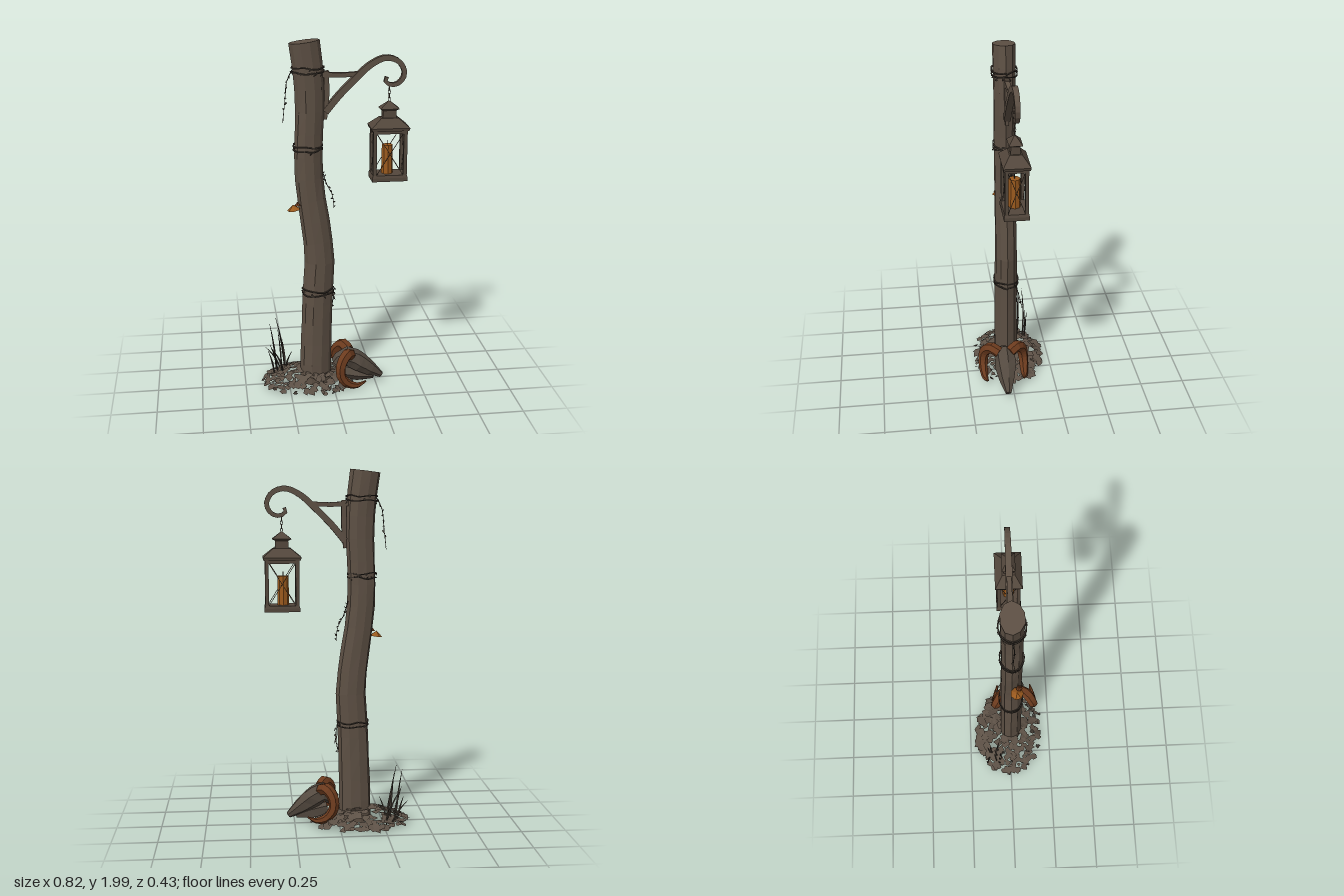
import * as THREE from 'three';

const V = (x, y, z = 0) => new THREE.Vector3(x, y, z);
const mat = (name, color, extra = {}) =>
  Object.assign(new THREE.MeshStandardMaterial({ color, flatShading: true, ...extra }), { name });

// small seeded random numbers
let seed = 7;
const rnd = (a = 0, b = 1) => {
  seed = (seed * 16807) % 2147483647;
  return a + (b - a) * (seed / 2147483647);
};

// tapered limb: rings swept along a smooth path, radii spread along its length
function limb(points, radii, sides = 6, steps = 12, rough = 0) {
  const curve = new THREE.CatmullRomCurve3(points);
  const f = curve.computeFrenetFrames(steps, false);
  const pos = [], idx = [];
  const lumps = Array.from({ length: sides }, () => 1 + rnd(-rough, rough));
  for (let i = 0; i <= steps; i++) {
    const c = curve.getPointAt(i / steps);
    const t = (i / steps) * (radii.length - 1), k = Math.min(Math.floor(t), radii.length - 2);
    const r = THREE.MathUtils.lerp(radii[k], radii[k + 1], t - k);
    for (let j = 0; j < sides; j++) {
      const a = (j + 0.5) / sides * Math.PI * 2;
      const q = r * lumps[j] * (1 + rnd(-rough, rough) * 0.4);
      const p = c.clone().addScaledVector(f.normals[i], q * Math.cos(a)).addScaledVector(f.binormals[i], q * Math.sin(a));
      pos.push(p.x, p.y, p.z);
      const n = (j + 1) % sides, o = i * sides;
      if (i < steps) idx.push(o + j, o + n, o + sides + n, o + j, o + sides + n, o + sides + j);
    }
  }
  const last = steps * sides;
  for (let j = 1; j < sides - 1; j++) idx.push(0, j + 1, j, last, last + j, last + j + 1);
  const g = new THREE.BufferGeometry();
  g.setAttribute('position', new THREE.Float32BufferAttribute(pos, 3));
  g.setIndex(idx);
  g.computeVertexNormals();
  return g;
}

// many flat irregular chips in one geometry; each has a centre p, a normal n, a size s and a length ratio
function chips(list) {
  const pos = [];
  for (const { p, n, s, ratio = 1 } of list) {
    const q = new THREE.Quaternion().setFromUnitVectors(V(0, 1, 0), n.clone().normalize());
    const sides = 4 + Math.floor(rnd(0, 2)), turn = rnd(0, 6.28);
    const ring = Array.from({ length: sides }, (_, j) => {
      const a = -(j + rnd(-0.25, 0.25)) / sides * Math.PI * 2, r = s * rnd(0.75, 1.25);
      return V(r * Math.cos(a), 0, r * Math.sin(a) * ratio).applyAxisAngle(V(0, 1, 0), turn).applyQuaternion(q).add(p);
    });
    for (let j = 1; j < sides - 1; j++) for (const v of [ring[0], ring[j], ring[j + 1]]) pos.push(v.x, v.y, v.z);
  }
  const g = new THREE.BufferGeometry();
  g.setAttribute('position', new THREE.Float32BufferAttribute(pos, 3));
  g.computeVertexNormals();
  return g;
}

export function createModel() {
  seed = 7;
  const wood = mat('weathered wood', 0x5d5044);
  const metal = mat('lantern metal', 0x53473c);
  const earth = mat('earth', 0x5d5146, { side: THREE.DoubleSide });
  const vine = mat('dry vine', 0x3a332c, { side: THREE.DoubleSide });
  const bone = mat('old bone', 0x544a40);
  const horn = mat('rusty horn', 0x6c3b1e);
  const wax = mat('orange wax', 0x9a5a1e);

  const model = new THREE.Group();
  const add = (parent, name, geo, material, x = 0, y = 0, z = 0) => {
    const m = new THREE.Mesh(geo, material);
    m.name = name;
    m.position.set(x, y, z);
    parent.add(m);
    return m;
  };
  const group = (name) => {
    const g = new THREE.Group();
    g.name = name;
    model.add(g);
    return g;
  };

  // crooked post, slightly flattened in depth
  const post = limb([V(-0.097, 0.02), V(-0.094, 0.2), V(-0.08, 0.6), V(-0.07, 0.78), V(-0.095, 1), V(-0.122, 1.2),
    V(-0.13, 1.4), V(-0.12, 1.6), V(-0.125, 1.8), V(-0.148, 1.987)], [0.09, 0.087, 0.083, 0.077, 0.077, 0.082], 10, 16, 0.04);
  add(model, 'post', post.scale(1, 1, 0.75), wood, 0, 0, 0.008);
  const postX = (y) => (y > 1.7 ? -0.128 : y > 1.2 ? -0.13 : -0.08);

  // bracket with curled end
  const bracket = group('bracket');
  bracket.position.z = 0.005;
  add(bracket, 'upright', limb([V(-0.035, 1.57), V(-0.028, 1.7), V(-0.03, 1.83)], [0.012, 0.019, 0.019], 4, 4), wood);
  add(bracket, 'crossbar', limb([V(-0.06, 1.812), V(0.05, 1.806), V(0.16, 1.812)], [0.02, 0.017, 0.017], 4, 4), wood);
  add(bracket, 'curledArm', limb([V(-0.035, 1.61), V(0.04, 1.7), V(0.13, 1.79), V(0.21, 1.86), V(0.29, 1.893), V(0.36, 1.87),
    V(0.39, 1.81), V(0.365, 1.76), V(0.32, 1.747), V(0.287, 1.768), V(0.295, 1.79)], [0.025, 0.025, 0.024, 0.021, 0.018, 0.014], 4, 30), wood);

  // lantern
  const lantern = group('lantern');
  lantern.position.set(0.31, 0, 0.008);
  const taper = (name, top, bottom, y0, y1, depth = 0.68) => add(lantern, name,
    new THREE.CylinderGeometry(top * Math.SQRT1_2, bottom * Math.SQRT1_2, y1 - y0, 4).rotateY(Math.PI / 4).scale(1, 1, depth),
    metal, 0, (y0 + y1) / 2, 0);
  const box = (name, w, h, d, x, y, z, m = metal) => add(lantern, name, new THREE.BoxGeometry(w, h, d), m, x, y, z);
  taper('roofRim', 0.21, 0.2, 1.508, 1.524);
  taper('roof', 0.095, 0.21, 1.524, 1.572);
  taper('neck', 0.07, 0.075, 1.57, 1.615);
  taper('capRim', 0.105, 0.07, 1.612, 1.622);
  taper('cap', 0.012, 0.105, 1.622, 1.66);
  taper('baseRim', 0.185, 0.195, 1.248, 1.262);
  taper('base', 0.195, 0.195, 1.228, 1.248);
  for (const sx of [-1, 1]) for (const sz of [-1, 1]) box('cornerPost', 0.02, 0.26, 0.018, sx * 0.083, 1.383, sz * 0.052);
  for (const s of [-1, 1]) {
    box('topRail', 0.17, 0.018, 0.012, 0, 1.5, s * 0.052);
    box('sideRail', 0.012, 0.018, 0.1, s * 0.083, 1.5, 0);
    // crossed wires on each face
    for (const d of [-1, 1]) {
      box('crossWire', 0.003, 0.285, 0.003, 0, 1.378, s * 0.054).rotation.z = d * 0.56;
      box('sideCrossWire', 0.003, 0.25, 0.003, s * 0.084, 1.378, 0).rotation.x = d * 0.37;
    }
  }
  add(lantern, 'candle', new THREE.CylinderGeometry(0.03, 0.032, 0.165, 8), wax, -0.006, 1.338, 0);
  add(lantern, 'wick', new THREE.CylinderGeometry(0.002, 0.002, 0.03, 4), vine, -0.006, 1.43, 0);
  // hanging chain
  for (let i = 0; i < 4; i++) {
    add(lantern, 'chainLink', new THREE.TorusGeometry(0.01, 0.0028, 4, 8).scale(0.6, 1.2, 1), metal, 0, 1.669 + i * 0.02, 0)
      .rotation.y = i % 2 * Math.PI / 2;
  }

  // mound of loose earth chips around the post foot
  const mound = [];
  for (let i = 0; i < 290; i++) {
    const a = rnd(0, Math.PI * 2), r = Math.sqrt(rnd(0.05, 1));
    const cx = Math.cos(a) * r, cz = Math.sin(a) * r;
    const big = cz < 0 ? 1.2 : 0.9;
    mound.push({
      p: V(-0.125 + cx * 0.27, 0.025 + 0.095 * Math.pow(1 - r, 0.8) + rnd(-0.008, 0.008), -0.005 + cz * 0.2),
      n: V(cx * 0.4 + rnd(-0.3, 0.3), 1, cz * 0.5 + rnd(-0.3, 0.3)),
      s: rnd(0.016, 0.028) * big,
    });
  }
  add(model, 'earthMound', chips(mound), earth);
  // darker litter on the rim and front
  const litter = [];
  for (let i = 0; i < 50; i++) {
    const a = rnd(-0.4, 3.8), r = rnd(0.55, 1.04);
    litter.push({
      p: V(-0.115 + Math.cos(a) * r * 0.28, 0.03 + 0.08 * Math.max(0, 1 - r), Math.sin(a) * r * 0.2),
      n: V(rnd(-0.7, 0.7), 1, rnd(-0.7, 0.7)), s: rnd(0.01, 0.02), ratio: 0.6,
    });
  }
  add(model, 'leafLitter', chips(litter), vine);

  // horned skull leaning on the post foot
  const skull = group('skull');
  skull.position.z = 0.038;
  add(skull, 'cranium', limb([V(0.02, 0.13), V(0.08, 0.175), V(0.15, 0.14), V(0.22, 0.09), V(0.285, 0.045)],
    [0.04, 0.062, 0.062, 0.045, 0.018], 7, 8, 0.1), bone);
  add(skull, 'jaw', limb([V(0.06, 0.08), V(0.15, 0.06), V(0.24, 0.04)], [0.04, 0.04, 0.015], 5, 4, 0.1), bone);
  for (const s of [-1, 1]) {
    add(skull, 'curledHorn', limb([V(0.1, 0.2, s * 0.03), V(0.07, 0.218, s * 0.075), V(0.035, 0.175, s * 0.108),
      V(0.035, 0.11, s * 0.12), V(0.075, 0.06, s * 0.12), V(0.13, 0.045, s * 0.115), V(0.18, 0.065, s * 0.105)],
    [0.033, 0.034, 0.031, 0.027, 0.02, 0.004], 6, 14, 0.06), horn);
  }

  // grass blades behind the mound
  const grass = group('grass');
  for (let i = 0; i < 9; i++) {
    const x = -0.29 + rnd(-0.04, 0.04), z = -0.09 + rnd(-0.04, 0.04), h = i < 3 ? 0.33 - i * 0.03 : rnd(0.1, 0.22);
    const lean = i < 3 ? -0.05 + i * 0.015 : rnd(-0.09, 0.06);
    add(grass, 'blade', limb([V(x, 0.03, z), V(x + lean * 0.4, 0.03 + h * 0.6, z - 0.01), V(x + lean, 0.04 + h, z + rnd(-0.02, 0.01))],
      [0.004, 0.006, 0.001], 3, 4), vine);
  }

  // vines wound round the post, with small leaves
  const vines = group('vines');
  for (const [y, r] of [[1.84, 0.086], [1.42, 0.079], [0.585, 0.088]]) {
    const loop = (k) => Array.from({ length: 11 }, (_, i) => {
      const a = i / 10 * Math.PI * 2;
      return V(postX(y) + Math.cos(a) * r, y + k + rnd(-0.008, 0.008), 0.008 + Math.sin(a) * r * 0.79);
    });
    for (const k of [-0.01, 0.012]) add(vines, 'windingVine', limb(loop(k), [0.005, 0.004], 4, 20), vine);
    const leaves = [];
    for (let i = 0; i < 16; i++) {
      const a = rnd(0, 6.28);
      leaves.push({
        p: V(postX(y) + Math.cos(a) * (r + 0.004), y + rnd(-0.025, 0.02), 0.008 + Math.sin(a) * (r * 0.79 + 0.004)),
        n: V(Math.cos(a) + rnd(-0.5, 0.5), rnd(-0.6, 0.6), Math.sin(a)), s: rnd(0.005, 0.012), ratio: 0.6,
      });
    }
    add(vines, 'vineLeaves', chips(leaves), vine);
  }
  // hanging strands
  const strands = [
    [V(-0.21, 1.84, 0.01), V(-0.24, 1.78, 0.015), V(-0.25, 1.68, 0.01), V(-0.265, 1.56, 0.02)],
    [V(-0.05, 1.28, -0.02), V(-0.025, 1.2, -0.02), V(0.005, 1.14, -0.015), V(0.015, 1.06, -0.02)],
    [V(0, 0.6, -0.03), V(0.015, 0.57, -0.045), V(0.02, 0.52, -0.06), V(0.01, 0.44, -0.075)],
  ];
  for (const s of strands) {
    add(vines, 'hangingStrand', limb(s, [0.003, 0.0015], 3, 8), vine);
    const path = new THREE.CatmullRomCurve3(s);
    add(vines, 'strandLeaves', chips(Array.from({ length: 10 }, (_, i) => ({
      p: path.getPointAt(i / 10 + 0.05).add(V(rnd(-0.008, 0.008), 0, rnd(-0.008, 0.008))),
      n: V(rnd(-1, 1), rnd(-0.4, 0.4), rnd(0.2, 1)), s: rnd(0.008, 0.014), ratio: 0.5,
    }))), vine);
  }

  // shelf mushroom on the post
  const mushroom = group('mushroom');
  mushroom.position.set(-0.205, 1.09, 0.035);
  add(mushroom, 'mushroomCap', new THREE.ConeGeometry(0.036, 0.03, 7), wax, -0.01, 0.002, 0).rotation.z = 0.15;
  add(mushroom, 'smallCap', new THREE.ConeGeometry(0.018, 0.02, 6), horn, 0.012, 0.025, 0.012);

  return model;
}
